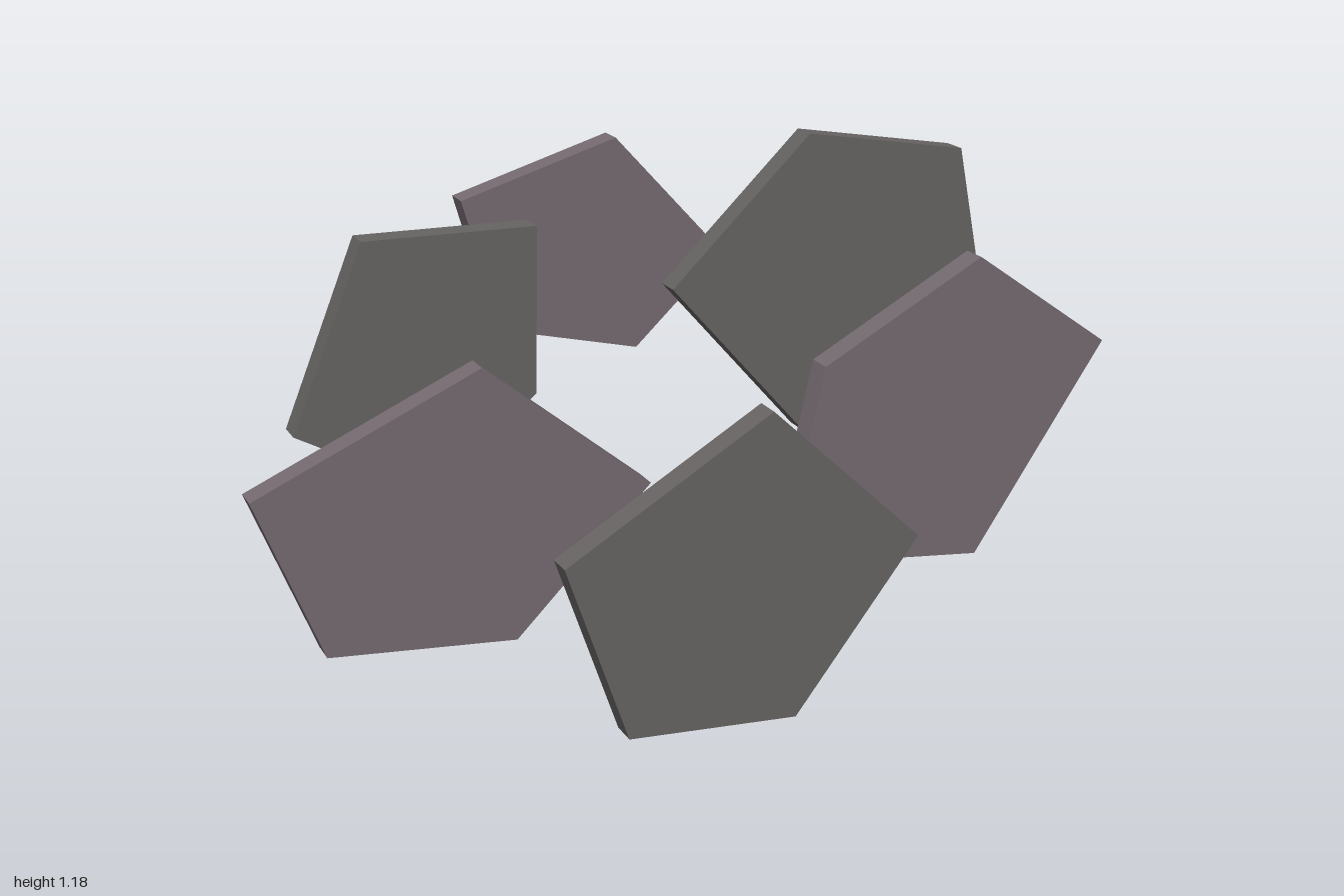
import * as THREE from 'three';

const THICKNESS = 0.066;
const warm = new THREE.MeshStandardMaterial({ color: 0x746a70, flatShading: true });
const grey = new THREE.MeshStandardMaterial({ color: 0x676463, flatShading: true });

// Ring of five-sided slabs: outline corners in x, y and the z of the back face
const slabs = [
  { name: 'frontSlab', mat: grey, z: 0.328,
    pts: [[0.04, 0.705], [-0.43, 0.42], [-0.29, 0.015], [0.10, 0], [0.39, 0.38]] },
  { name: 'lowerLeftSlab', mat: warm, z: 0.07,
    pts: [[0.67, 0.92], [0.285, 0.705], [0.18, 0.25], [0.68, 0.207], [1.0, 0.69]] },
  { name: 'lowerRightSlab', mat: warm, z: -0.017,
    pts: [[-0.486, 0.766], [-1.0, 0.53], [-0.85, 0.158], [-0.42, 0.132], [-0.10, 0.457]] },
  { name: 'upperRightSlab', mat: grey, z: -0.146,
    pts: [[-0.705, 1.033], [-0.87, 0.62], [-0.55, 0.45], [-0.32, 0.655], [-0.312, 1.033]] },
  { name: 'upperLeftSlab', mat: grey, z: -0.168,
    pts: [[0.352, 1.183], [0.016, 0.852], [0.345, 0.48], [0.822, 0.7], [0.742, 1.12]] },
  { name: 'backSlab', mat: warm, z: -0.394,
    pts: [[-0.032, 1.162], [-0.405, 1.045], [-0.315, 0.735], [0.015, 0.66], [0.235, 0.87]] },
];

export function createModel() {
  const group = new THREE.Group();
  group.name = 'slabRing';
  for (const { name, mat, z, pts } of slabs) {
    const outline = new THREE.Shape(pts.map(([x, y]) => new THREE.Vector2(x, y)));
    const geometry = new THREE.ExtrudeGeometry(outline, { depth: THICKNESS, bevelEnabled: false });
    const slab = new THREE.Mesh(geometry, mat);
    slab.name = name;
    slab.position.z = z;
    group.add(slab);
  }
  return group;
}
